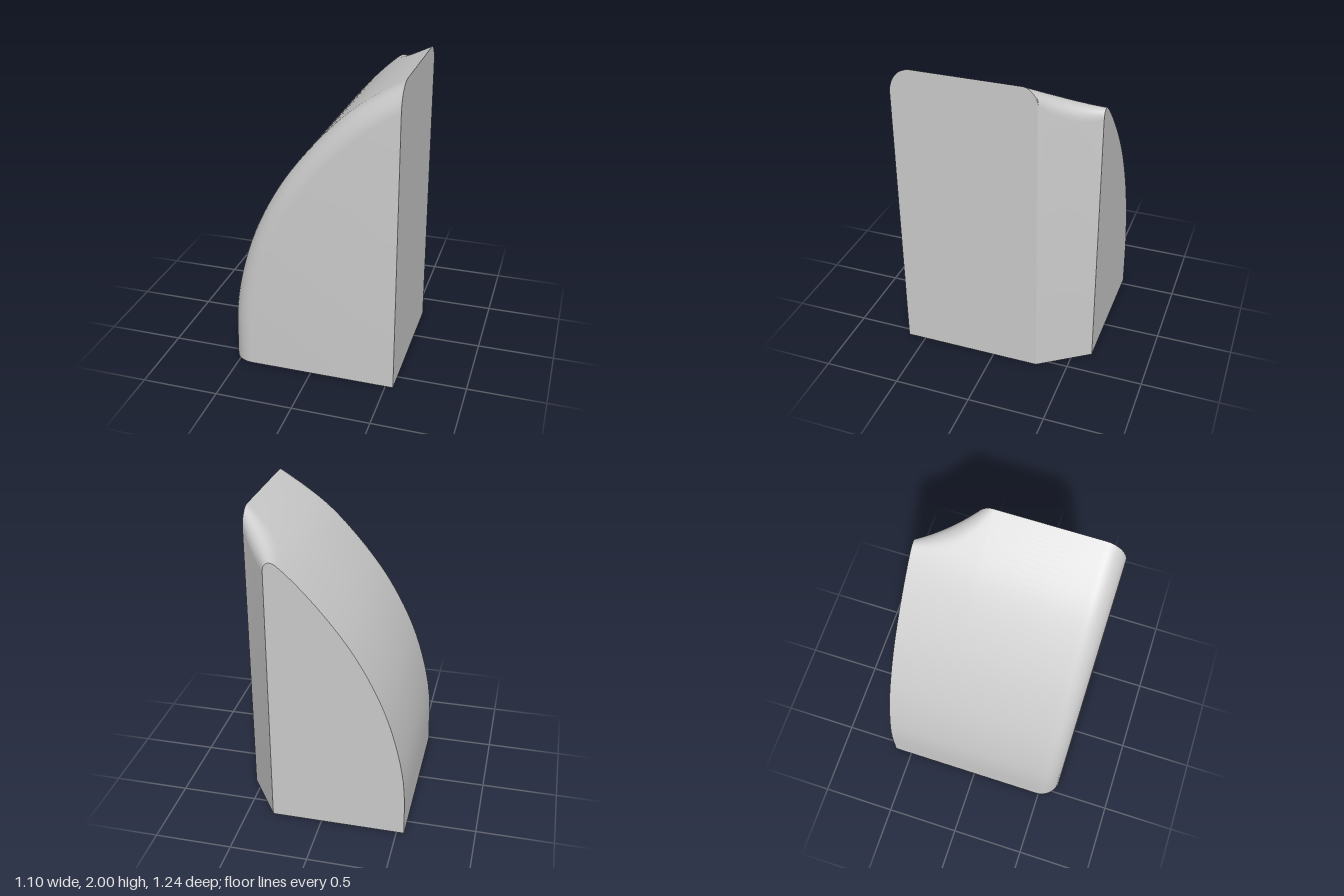
import * as THREE from 'three';
import { toCreasedNormals } from 'three/addons/utils/BufferGeometryUtils.js';

const HALF_X = 0.55, HALF_Z = 0.622;   // plan half sizes
const CUT_X = 0.33, CUT_Z = -0.30;     // ends of the cut-off back corner
const ROUND = 0.14;                    // radius along the front of the curved top
const N = 44;                          // points along each curved section

// curved outline, carried on past the flat side so that it can be trimmed there
const outline = new THREE.CatmullRomCurve3([
  [-0.55, 0], [-0.533, 0.4], [-0.455, 0.75], [-0.36, 1.0], [-0.2, 1.29],
  [0, 1.55], [0.2, 1.757], [0.36, 1.88], [0.55, 2.0], [0.75, 2.115],
].map(([x, y]) => new THREE.Vector3(x, y, 0)), false, 'centripetal');

// outline moved inward by d and trimmed at xMax, with N points closer near the top
function section(d, xMax) {
  const pts = [];
  for (let i = 0; i <= 120; i++) {
    const p = outline.getPoint(i / 120), t = outline.getTangent(i / 120);
    const q = i === 0
      ? new THREE.Vector2(p.x + d, 0)
      : new THREE.Vector2(p.x + t.y * d, Math.max(p.y - t.x * d, 0));
    const last = pts[pts.length - 1];
    if (last && q.x >= xMax) {
      pts.push(last.clone().lerp(q, (xMax - last.x) / (q.x - last.x)));
      break;
    }
    pts.push(q);
  }
  const path = new THREE.CurvePath();
  for (let i = 1; i < pts.length; i++) path.add(new THREE.LineCurve(pts[i - 1], pts[i]));
  return Array.from({ length: N }, (_, i) => path.getPoint(1 - (1 - i / (N - 1)) ** 1.7));
}

// how far the top drops in the rounded edge above the cut corner
function cornerDrop(x, z) {
  const len = Math.hypot(HALF_X - CUT_X, CUT_Z + HALF_Z);
  const tx = (HALF_X - CUT_X) / len, tz = (CUT_Z + HALF_Z) / len;
  const inset = tz * (HALF_X - x) + tx * (z - CUT_Z);
  const along = (tx * (x - CUT_X) + tz * (z + HALF_Z)) / len;
  const width = Math.max(0.134 - 0.17 * (along - 0.52) ** 2, 0.001);
  const q = THREE.MathUtils.clamp((width - inset) / width, 0, 1);
  return 1.16 * width * (1 - Math.sqrt(1 - q * q));
}

function bodyGeometry() {
  // section positions: cut corner, plain middle, rounded front
  const zs = [];
  for (let i = 0; i <= 16; i++) zs.push(THREE.MathUtils.lerp(-HALF_Z, CUT_Z, i / 16));
  for (let i = 1; i <= 8; i++) zs.push(CUT_Z + 0.1 * i / 8);
  for (let i = 0; i <= 8; i++) zs.push(HALF_Z - ROUND + ROUND * Math.sin(i / 8 * Math.PI / 2));

  const pos = [], index = [], ring = N + 1;
  for (const z of zs) {
    const f = Math.max(z - (HALF_Z - ROUND), 0);
    const d = ROUND - Math.sqrt(Math.max(ROUND * ROUND - f * f, 0));
    const k = Math.min((z + HALF_Z) / (CUT_Z + HALF_Z), 1);
    const xMax = THREE.MathUtils.lerp(CUT_X, HALF_X, k);
    for (const p of section(d, xMax)) pos.push(p.x, p.y - cornerDrop(p.x, z), z);
    pos.push(xMax, 0, z);
  }
  // skin between neighbouring sections: curved top, side wall and base
  for (let j = 0; j < zs.length - 1; j++) {
    for (let i = 0; i < ring; i++) {
      const n = (i + 1) % ring;
      const a = j * ring + i, b = j * ring + n, c = b + ring, d = a + ring;
      index.push(a, d, b, d, c, b);
    }
  }
  // flat back and front faces
  const front = (zs.length - 1) * ring;
  for (let i = 0; i < N - 1; i++) {
    index.push(N, i, i + 1, front + N, front + i + 1, front + i);
  }
  const geo = new THREE.BufferGeometry();
  geo.setAttribute('position', new THREE.Float32BufferAttribute(pos, 3));
  geo.setIndex(index);
  return toCreasedNormals(geo, 0.5);
}

export function createModel() {
  const group = new THREE.Group();
  group.name = 'curvedBlock';
  const body = new THREE.Mesh(bodyGeometry(), new THREE.MeshStandardMaterial({ color: 0xcccccc }));
  body.name = 'body';
  group.add(body);
  return group;
}
